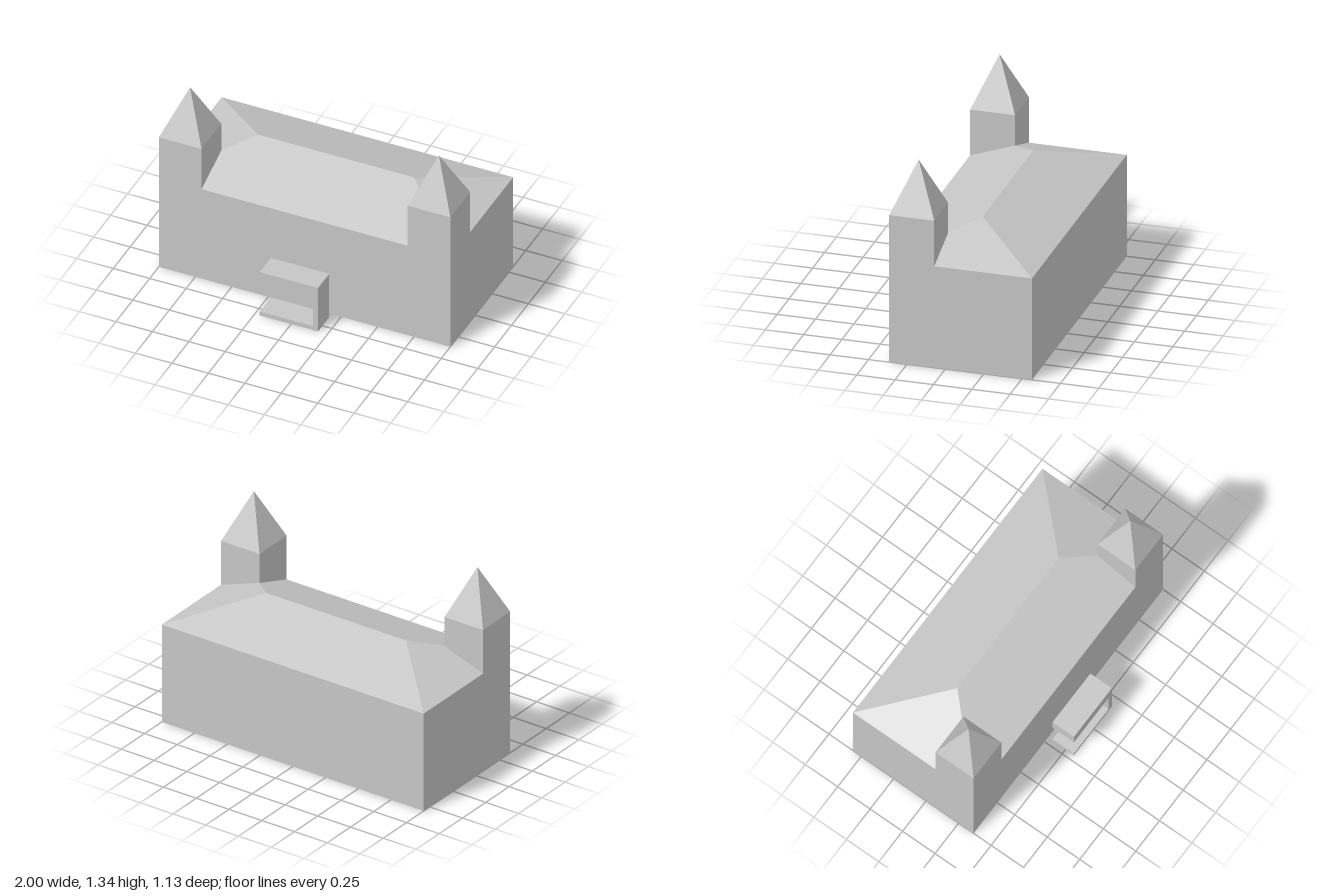
import * as THREE from 'three';

const stone = new THREE.MeshStandardMaterial({ color: 0xc6c6c6, side: THREE.DoubleSide });
stone.name = 'pale grey stone';

// Flat-faced copy of a geometry without the level faces at the given heights
function openAt(source, ...heights) {
  const geo = source.index ? source.toNonIndexed() : source;
  const p = geo.attributes.position;
  const kept = [];
  for (let i = 0; i < p.count; i += 3) {
    const level = heights.some((h) => [0, 1, 2].every((k) => Math.abs(p.getY(i + k) - h) < 1e-4));
    if (level) continue;
    for (let k = 0; k < 3; k++) kept.push(p.getX(i + k), p.getY(i + k), p.getZ(i + k));
  }
  const out = new THREE.BufferGeometry();
  out.setAttribute('position', new THREE.Float32BufferAttribute(kept, 3));
  out.computeVertexNormals();
  return out;
}

function part(name, geo) {
  const mesh = new THREE.Mesh(geo, stone);
  mesh.name = name;
  return mesh;
}

const BACK = -0.565, FRONT = 0.365, MID = (BACK + FRONT) / 2, DEPTH = FRONT - BACK;
const EAVES = 0.69, RIDGE = 0.855, RIDGE_HALF = 0.535;
const TOWER = 0.293, TOWER_TOP = 1, SPIRE_TOP = 1.335;

export function createModel() {
  const model = new THREE.Group();
  model.name = 'hall';

  // Main walls with a ceiling and an open underside
  const walls = new THREE.BoxGeometry(2, EAVES, DEPTH).translate(0, EAVES / 2, MID);
  model.add(part('walls', openAt(walls, 0)));

  // Hipped roof: the top of a box drawn in to a ridge
  const roof = new THREE.BoxGeometry(2, RIDGE - EAVES, DEPTH).translate(0, (RIDGE + EAVES) / 2, 0);
  const p = roof.attributes.position;
  for (let i = 0; i < p.count; i++) {
    if (p.getY(i) > EAVES + 0.01) p.setXYZ(i, Math.sign(p.getX(i)) * RIDGE_HALF, RIDGE, 0);
  }
  roof.translate(0, 0, MID);
  model.add(part('hippedRoof', openAt(roof, EAVES, RIDGE)));

  // Square corner towers with pyramid spires
  for (const side of [-1, 1]) {
    const tower = new THREE.Group();
    tower.name = side > 0 ? 'leftTower' : 'rightTower';
    const shaft = new THREE.BoxGeometry(TOWER, TOWER_TOP - EAVES, TOWER)
      .translate(0, (TOWER_TOP + EAVES) / 2, 0);
    const spire = new THREE.ConeGeometry(TOWER / Math.SQRT2, SPIRE_TOP - TOWER_TOP, 4, 1, true)
      .rotateY(Math.PI / 4).translate(0, (SPIRE_TOP + TOWER_TOP) / 2, 0);
    tower.add(part('towerShaft', openAt(shaft, EAVES, TOWER_TOP)), part('spire', openAt(spire)));
    tower.position.set(side * (1 - TOWER / 2), 0, FRONT - TOWER / 2);
    model.add(tower);
  }

  // Entrance shelter: base, post and thick canopy in one bracket-shaped section
  const section = new THREE.Shape([
    [-0.215, 0], [0.185, 0], [0.185, 0.335], [-0.215, 0.335],
    [-0.215, 0.235], [0.15, 0.235], [0.15, 0.03], [-0.215, 0.03],
  ].map(([x, y]) => new THREE.Vector2(x, y)));
  const shelter = new THREE.ExtrudeGeometry(section, { depth: 0.165, bevelEnabled: false })
    .translate(0, 0, 0.4);
  model.add(part('entranceShelter', openAt(shelter, 0)));

  return model;
}
